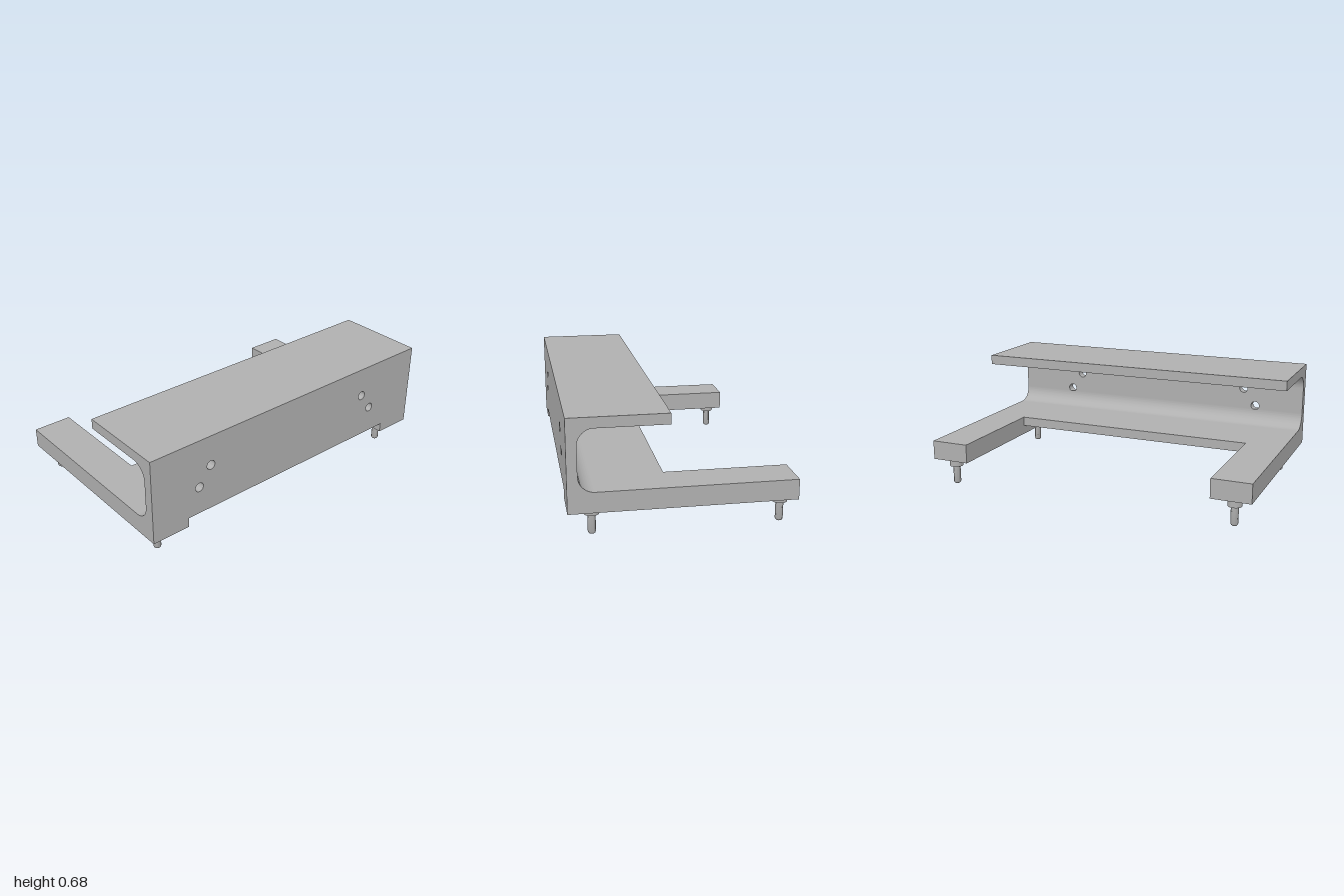
import * as THREE from 'three';
import { toCreasedNormals } from 'three/addons/utils/BufferGeometryUtils.js';

const FRONT = 0.622, INNER = 0.565, REAR = 0.08; // z of wall faces and plate edges
const TOP = 0.68, CEIL = 0.62, FLOOR = 0.275, BASE = 0.217, FOOT = 0.16; // heights
const ARM = 0.767; // inner x of the arms

export function createModel() {
  const model = new THREE.Group();
  const metal = new THREE.MeshStandardMaterial({ color: 0xb0b0b0 });
  metal.name = 'grey metal';

  const add = (name, geometry) => {
    const mesh = new THREE.Mesh(geometry, metal);
    mesh.name = name;
    model.add(mesh);
    return mesh;
  };
  const block = (name, x0, x1, y0, y1, z0, z1) =>
    add(name, new THREE.BoxGeometry(x1 - x0, y1 - y0, z1 - z0))
      .position.set((x0 + x1) / 2, (y0 + y1) / 2, (z0 + z1) / 2);
  const extrude = (shape, depth) => toCreasedNormals(
    new THREE.ExtrudeGeometry(shape, { depth, bevelEnabled: false, curveSegments: 20 }), 0.6);

  // Front wall, notched below and drilled with four holes
  const wall = new THREE.Shape([
    [-1, FOOT], [-ARM, FOOT], [-ARM, BASE], [ARM, BASE], [ARM, FOOT], [1, FOOT], [1, TOP], [-1, TOP],
  ].map(([x, y]) => new THREE.Vector2(x, y)));
  for (const [x, y] of [[-0.61, 0.497], [-0.69, 0.387], [0.56, 0.497], [0.638, 0.387]]) {
    wall.holes.push(new THREE.Path().absarc(x, y, 0.027, 0, Math.PI * 2, true));
  }
  add('frontWall', extrude(wall, FRONT - INNER)).position.z = INNER;

  // Plates and rear-reaching arms
  block('topPlate', -1, 1, CEIL, TOP, REAR, INNER);
  block('basePlate', -ARM, ARM, BASE, FLOOR, REAR, INNER);
  block('leftArm', ARM, 1, FOOT, FLOOR, -FRONT, INNER);
  block('rightArm', -1, -ARM, FOOT, FLOOR, -FRONT, INNER);

  // Concave fillets where the plates meet the wall
  const r = 0.09;
  for (const [name, y, s] of [['upperFillet', CEIL, -1], ['lowerFillet', FLOOR, 1]]) {
    const fillet = new THREE.Shape();
    fillet.moveTo(-INNER, y);
    fillet.lineTo(-INNER + r, y);
    fillet.absarc(-INNER + r, y + s * r, r, -s * Math.PI / 2, -s * Math.PI, s > 0);
    fillet.closePath();
    add(name, extrude(fillet, 2).rotateY(Math.PI / 2)).position.x = -1;
  }

  // Four pegs with a collar and a rounded tip
  const profile = [
    [0, 0], [0.014, 0], [0.019, 0.004], [0.022, 0.012], [0.022, 0.113],
    [0.041, 0.113], [0.041, FOOT], [0, FOOT],
  ].map(([x, y]) => new THREE.Vector2(x, y));
  const peg = toCreasedNormals(new THREE.LatheGeometry(profile, 32), 0.7);
  for (const x of [-0.888, 0.888]) {
    for (const z of [0.487, -0.55]) {
      add(`${z > 0 ? 'front' : 'rear'}${x > 0 ? 'Left' : 'Right'}Peg`, peg).position.set(x, 0, z);
    }
  }
  return model;
}
